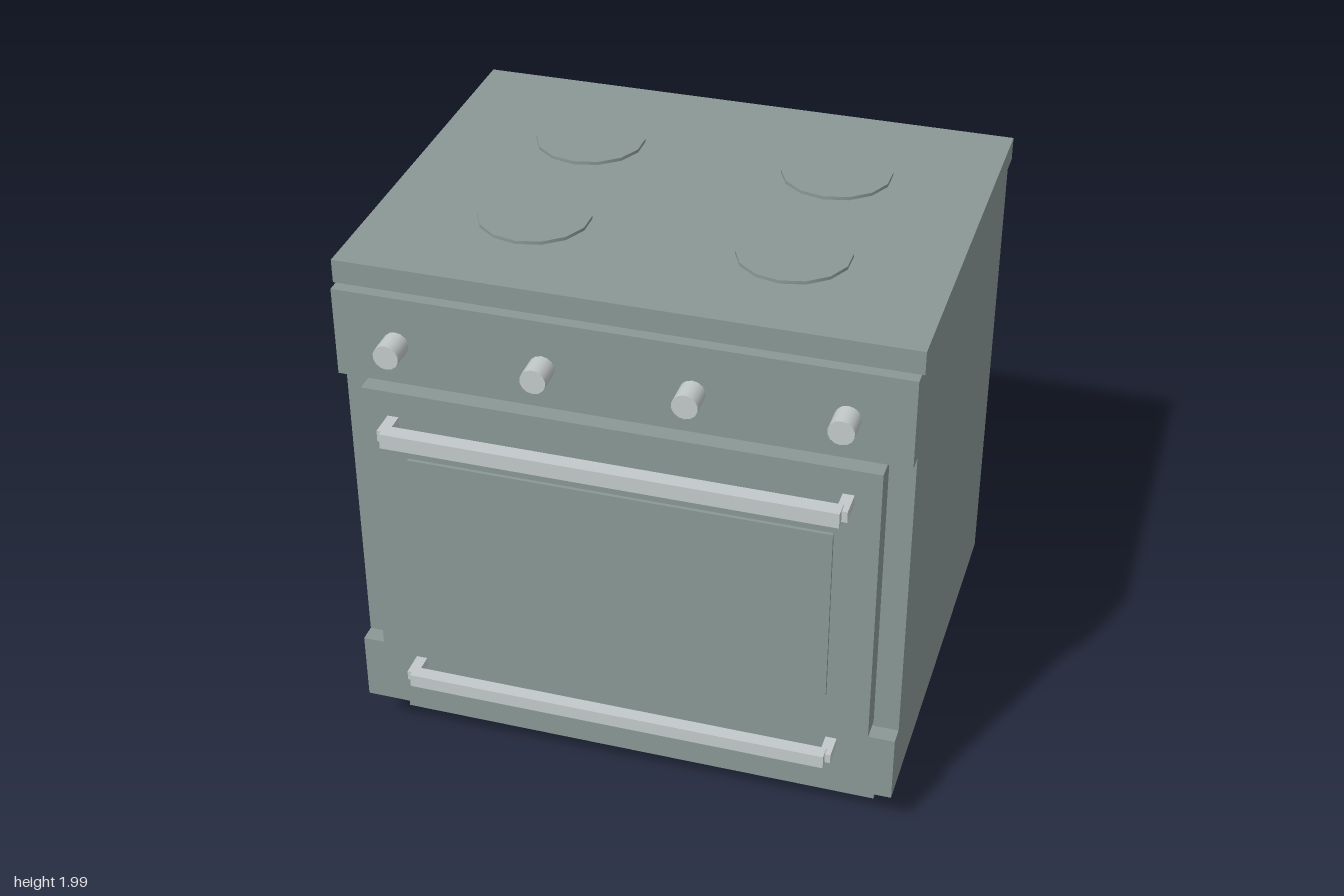
import * as THREE from 'three';

export function createModel() {
  const stove = new THREE.Group();
  stove.name = 'stove';
  const enamel = new THREE.MeshStandardMaterial({ color: 0x8a9896 });
  enamel.name = 'grey green enamel';
  const metal = new THREE.MeshStandardMaterial({ color: 0xc3c9ca });
  metal.name = 'light metal';

  const add = (name, geometry, material, x, y, z) => {
    const mesh = new THREE.Mesh(geometry, material);
    mesh.name = name;
    mesh.position.set(x, y, z);
    stove.add(mesh);
    return mesh;
  };
  // Box given by its limits on each axis
  const box = (name, material, [x0, x1], [y0, y1], [z0, z1]) =>
    add(name, new THREE.BoxGeometry(x1 - x0, y1 - y0, z1 - z0), material,
      (x0 + x1) / 2, (y0 + y1) / 2, (z0 + z1) / 2);

  // Carcass
  box('plinth', enamel, [-0.9, 0.9], [0, 0.16], [-0.76, 0.56]);
  box('body', enamel, [-0.99, 0.99], [0.16, 1.895], [-0.85, 0.648]);
  box('cooktop', enamel, [-1, 1], [1.895, 1.98], [-0.86, 0.667]);

  // Front panels
  box('controlPanel', enamel, [-0.99, 0.99], [1.567, 1.895], [0.648, 0.71]);
  box('drawer', enamel, [-0.99, 0.99], [0.16, 0.42], [0.648, 0.71]);
  box('ovenDoor', enamel, [-0.9, 0.9], [0.44, 1.54], [0.648, 0.735]);
  box('ovenWindow', enamel, [-0.747, 0.747], [0.6, 1.28], [0.735, 0.747]);

  // Hot plates
  for (const x of [-0.455, 0.455]) {
    for (const z of [-0.405, 0.195]) {
      add('hotPlate', new THREE.CylinderGeometry(0.197, 0.197, 0.012, 14), enamel, x, 1.986, z);
    }
  }

  // Control knobs
  for (const x of [-0.77, -0.257, 0.257, 0.77]) {
    add('knob', new THREE.CylinderGeometry(0.045, 0.045, 0.092, 14), metal, x, 1.72, 0.756)
      .rotation.x = Math.PI / 2;
  }

  // Bar handles, each held by two brackets
  const handle = (name, y, back, front, half, barSize) => {
    const h = barSize / 2;
    box(name + 'Bar', metal, [-half, half], [y - h, y + h], [front - barSize, front]);
    for (const side of [-1, 1]) {
      const x = side * half;
      box(name + 'Bracket', metal, [x - 0.02, x + 0.02], [y - h + 0.007, y + h - 0.007],
        [back, front - barSize / 2]);
    }
  };
  handle('doorHandle', 1.423, 0.735, 0.86, 0.79, 0.056);
  handle('drawerHandle', 0.365, 0.71, 0.826, 0.765, 0.05);

  return stove;
}
